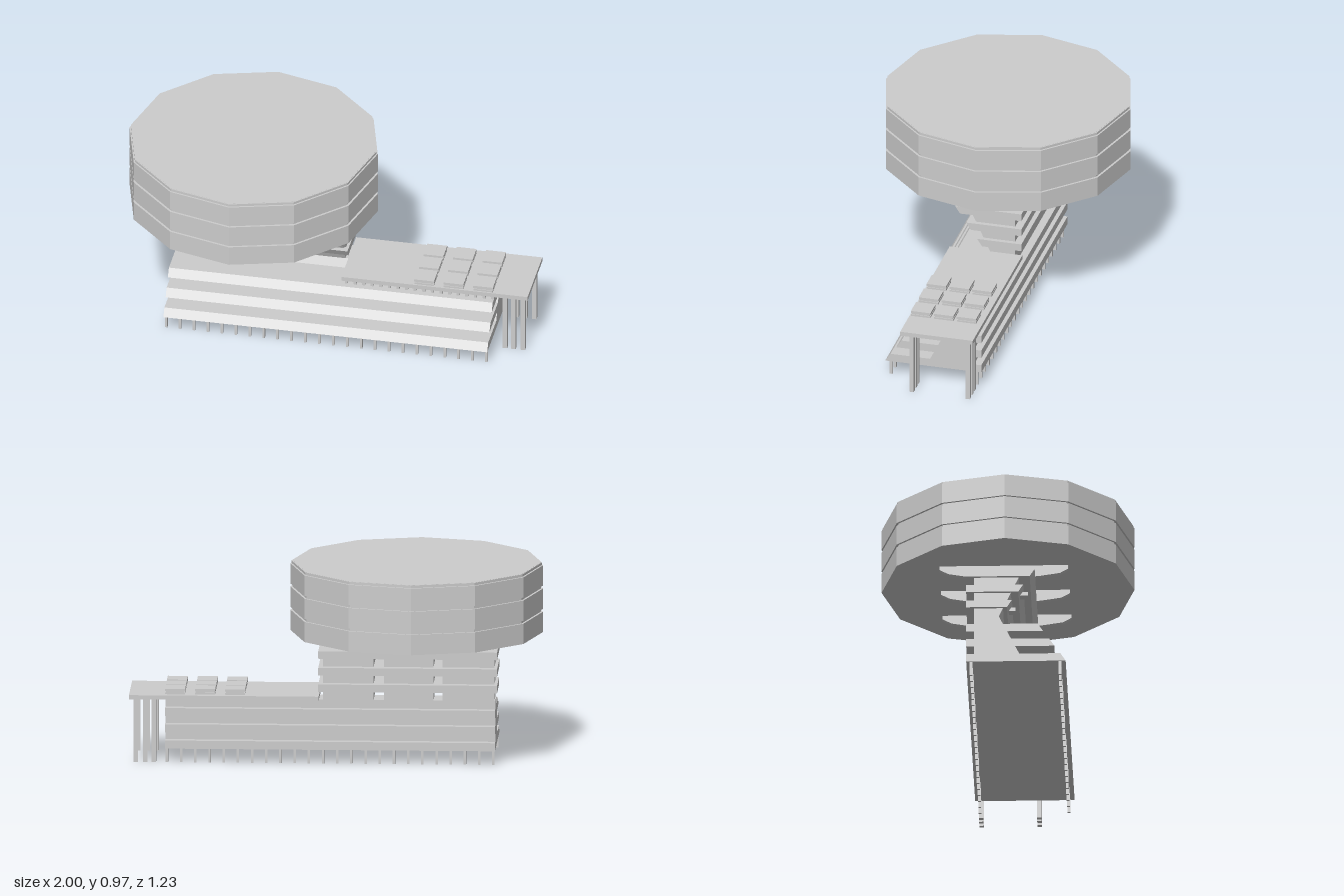
import * as THREE from 'three';

const concrete = new THREE.MeshStandardMaterial({ color: 0xcccccc, flatShading: true });
concrete.name = 'concrete grey';

export function createModel() {
  const model = new THREE.Group();

  const group = (name) => {
    const g = new THREE.Group();
    g.name = name;
    model.add(g);
    return g;
  };
  const add = (parent, name, geometry) => {
    const mesh = new THREE.Mesh(geometry, concrete);
    mesh.name = name;
    parent.add(mesh);
    return mesh;
  };
  // Box given by its limits on each axis
  const box = (parent, name, x0, x1, y0, y1, z0, z1) =>
    add(parent, name, new THREE.BoxGeometry(x1 - x0, y1 - y0, z1 - z0))
      .position.set((x0 + x1) / 2, (y0 + y1) / 2, (z0 + z1) / 2);
  // Side profile of [z, y] points, extruded from x0 to x1
  const prism = (parent, name, x0, x1, points) => {
    const shape = new THREE.Shape(points.map(([z, y]) => new THREE.Vector2(-z, y)));
    const geometry = new THREE.ExtrudeGeometry(shape, { depth: x1 - x0, bevelEnabled: false });
    geometry.rotateY(Math.PI / 2).translate(x0, 0, 0);
    return add(parent, name, geometry);
  };

  // Twelve-sided drum: three tall bands, each topped by a recessed ring
  const drum = group('drum');
  const ring = (name, r, y0, y1) =>
    add(drum, name, new THREE.CylinderGeometry(r, r, y1 - y0, 12))
      .position.set(-0.387, (y0 + y1) / 2, 0);
  for (let i = 0; i < 3; i++) {
    const y = 0.624 + i * 0.1145;
    ring('drumBand', 0.613, y, y + 0.1);
    ring('drumGroove', 0.602, y + 0.1, y + 0.1145);
  }
  // The roof lies level with the top edge at full width
  ring('drumRoof', 0.607, 0.955, 0.967);

  // Curved ribs carrying the drum
  const ribs = group('drumRibs');
  for (const x of [-0.67, -0.387, -0.104]) {
    prism(ribs, 'rib', x - 0.012, x + 0.012, [
      [0.3, 0.626], [0.3, 0.605], [0.26, 0.582], [0.16, 0.567], [0.04, 0.557],
      [-0.06, 0.556], [-0.18, 0.565], [-0.28, 0.582], [-0.325, 0.605], [-0.325, 0.626],
    ]);
  }

  // Tower: three leaning cores with open gaps, crossed by floor slabs
  const tower = group('tower');
  for (const [x0, x1] of [[-0.77, -0.52], [-0.475, -0.235], [-0.185, 0.06]]) {
    prism(tower, 'towerCore', x0, x1, [[-0.155, 0.31], [-0.035, 0.31], [0.065, 0.525], [-0.155, 0.525]]);
  }
  for (const [y, front] of [[0.52, 0.14], [0.438, 0.085], [0.356, 0.03]]) {
    prism(tower, 'towerSlab', -0.785, 0.082,
      [[-0.192, y], [front - 0.024, y], [front, y + 0.037], [-0.192, y + 0.037]]);
  }
  box(tower, 'slabBracket', -0.715, -0.67, 0.447, 0.466, 0.04, 0.105);
  box(tower, 'slabBracket', -0.715, -0.67, 0.365, 0.384, 0, 0.045);

  // Base: leaning wall with three terraces in front and matching bands behind
  const base = group('base');
  prism(base, 'baseWall', -0.775, 0.825, [
    [-0.155, 0.07], [0.085, 0.07], [-0.035, 0.312], [-0.155, 0.312],
  ]);
  for (let i = 0; i < 3; i++) {
    const y = 0.07 + i * 0.08;
    const z = 0.29 - i * 0.055;
    prism(base, 'terrace', -0.775, 0.825,
      [[-0.192, y], [z, y], [z - 0.026, y + 0.04], [-0.192, y + 0.04]]);
  }

  // Short stilts along both long edges
  const stilts = group('stilts');
  for (let i = 0; i < 24; i++) {
    const x = -0.766 + i * 0.0688;
    for (const z of [0.262, -0.168]) {
      box(stilts, 'stilt', x - 0.006, x + 0.006, 0, 0.072, z - 0.007, z + 0.007);
    }
  }

  // Canopy roof with tall posts at its end and a row of small posts on the top terrace
  const canopy = group('canopy');
  box(canopy, 'canopyRoof', 0.08, 1, 0.312, 0.333, -0.196, 0.168);
  for (const x of [0.88, 0.922, 0.968]) {
    for (const z of [0.117, -0.165]) {
      box(canopy, 'canopyPost', x - 0.011, x + 0.011, 0, 0.313, z - 0.011, z + 0.011);
    }
  }
  for (let i = 0; i < 18; i++) {
    const x = 0.095 + i * 0.0425;
    box(canopy, 'balusterPost', x - 0.007, x + 0.007, 0.268, 0.313, 0.11, 0.124);
  }

  // Three by three grid of skylights, each with a narrow waist
  const skylights = group('skylights');
  for (const x of [0.487, 0.632, 0.778]) {
    for (const z of [-0.117, -0.003, 0.112]) {
      const layer = (name, half, y0, y1) =>
        box(skylights, name, x - half, x + half, y0, y1, z - half, z + half);
      layer('skylightCurb', 0.048, 0.332, 0.342);
      layer('skylightWaist', 0.044, 0.342, 0.348);
      layer('skylightCap', 0.049, 0.348, 0.36);
    }
  }

  return model;
}
